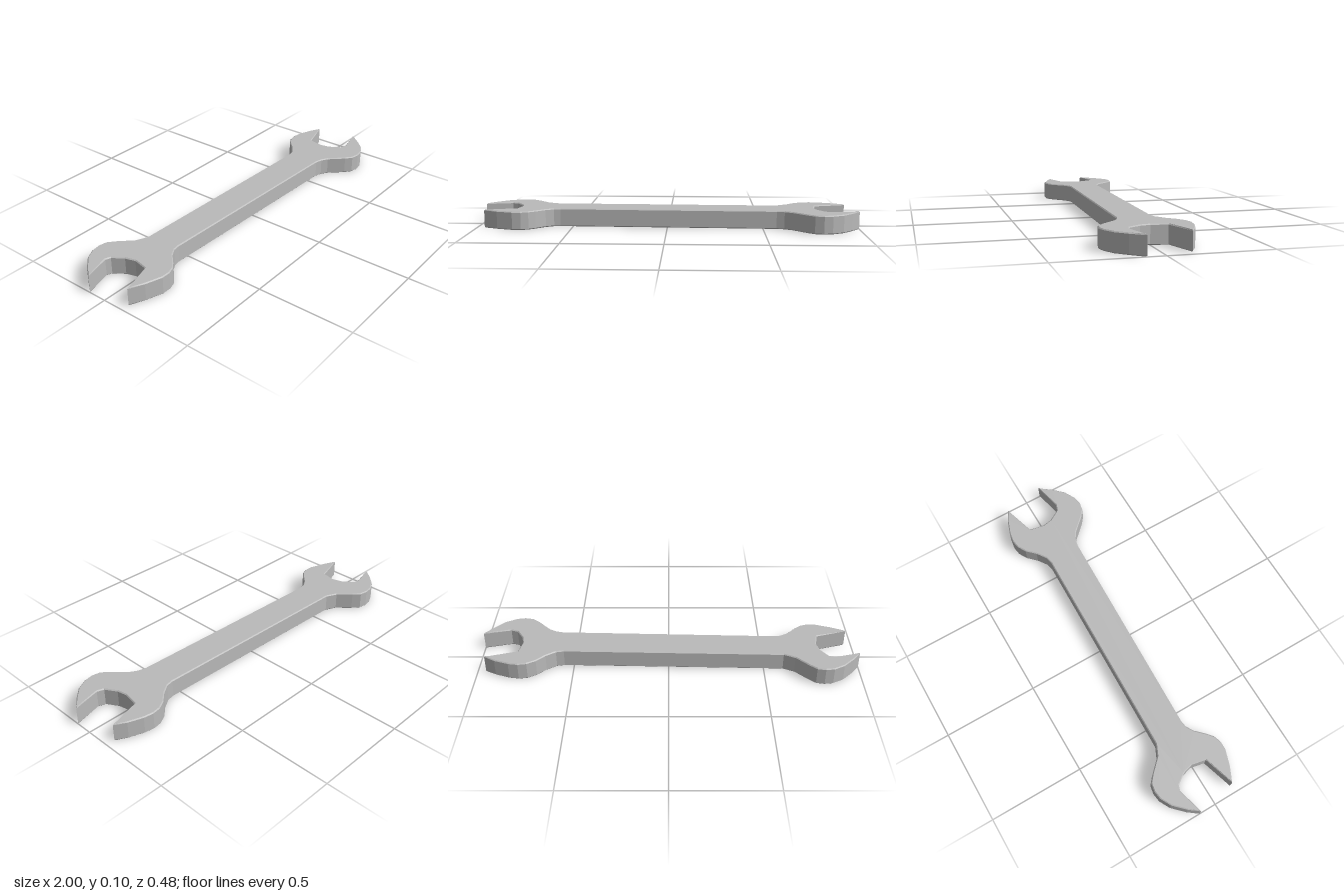
import * as THREE from 'three';

const HEIGHT = 0.096;
const BEVEL = 0.005;

// Outline of the +x head in plan (x, z): outer jaw, mouth, outer jaw
const rightHead = [
  [0.55, -0.078], [0.59, -0.086], [0.64, -0.12], [0.685, -0.165], [0.73, -0.191],
  [0.775, -0.198], [0.825, -0.19], [0.9, -0.163], [0.957, -0.13],
  [0.79, -0.08], [0.775, 0], [0.785, 0.05], [0.82, 0.108], [0.855, 0.12], [1, 0.086],
  [0.95, 0.15], [0.9, 0.202], [0.84, 0.234], [0.795, 0.242], [0.75, 0.233],
  [0.715, 0.205], [0.645, 0.131], [0.61, 0.11], [0.57, 0.1],
];

// Outline of the -x head, continuing the loop
const leftHead = [
  [-0.567, 0.063], [-0.6, 0.068], [-0.64, 0.092], [-0.685, 0.138], [-0.717, 0.165],
  [-0.755, 0.178], [-0.8, 0.178], [-0.885, 0.15], [-0.96, 0.114],
  [-0.797, 0.063], [-0.782, -0.012], [-0.797, -0.065], [-0.835, -0.12], [-0.862, -0.13], [-1, -0.094],
  [-0.96, -0.147], [-0.9, -0.207], [-0.845, -0.236], [-0.8, -0.242], [-0.757, -0.234],
  [-0.72, -0.202], [-0.657, -0.136], [-0.6, -0.109],
];

export function createModel() {
  const group = new THREE.Group();
  group.name = 'openEndedSpanner';

  const steel = new THREE.MeshStandardMaterial({ color: 0xbababa });
  steel.name = 'steel grey';

  // Handle and both heads are one forged plate with a fine bevelled rim
  const outline = [...rightHead, ...leftHead].map(([x, z]) => new THREE.Vector2(x, -z));
  const geometry = new THREE.ExtrudeGeometry(new THREE.Shape(outline), {
    depth: HEIGHT - 2 * BEVEL,
    bevelThickness: BEVEL,
    bevelSize: BEVEL,
    bevelOffset: -BEVEL,
    bevelSegments: 1,
  });
  geometry.rotateX(-Math.PI / 2);
  geometry.translate(0, BEVEL, 0);

  const body = new THREE.Mesh(geometry, steel);
  body.name = 'spannerBody';
  group.add(body);
  return group;
}
